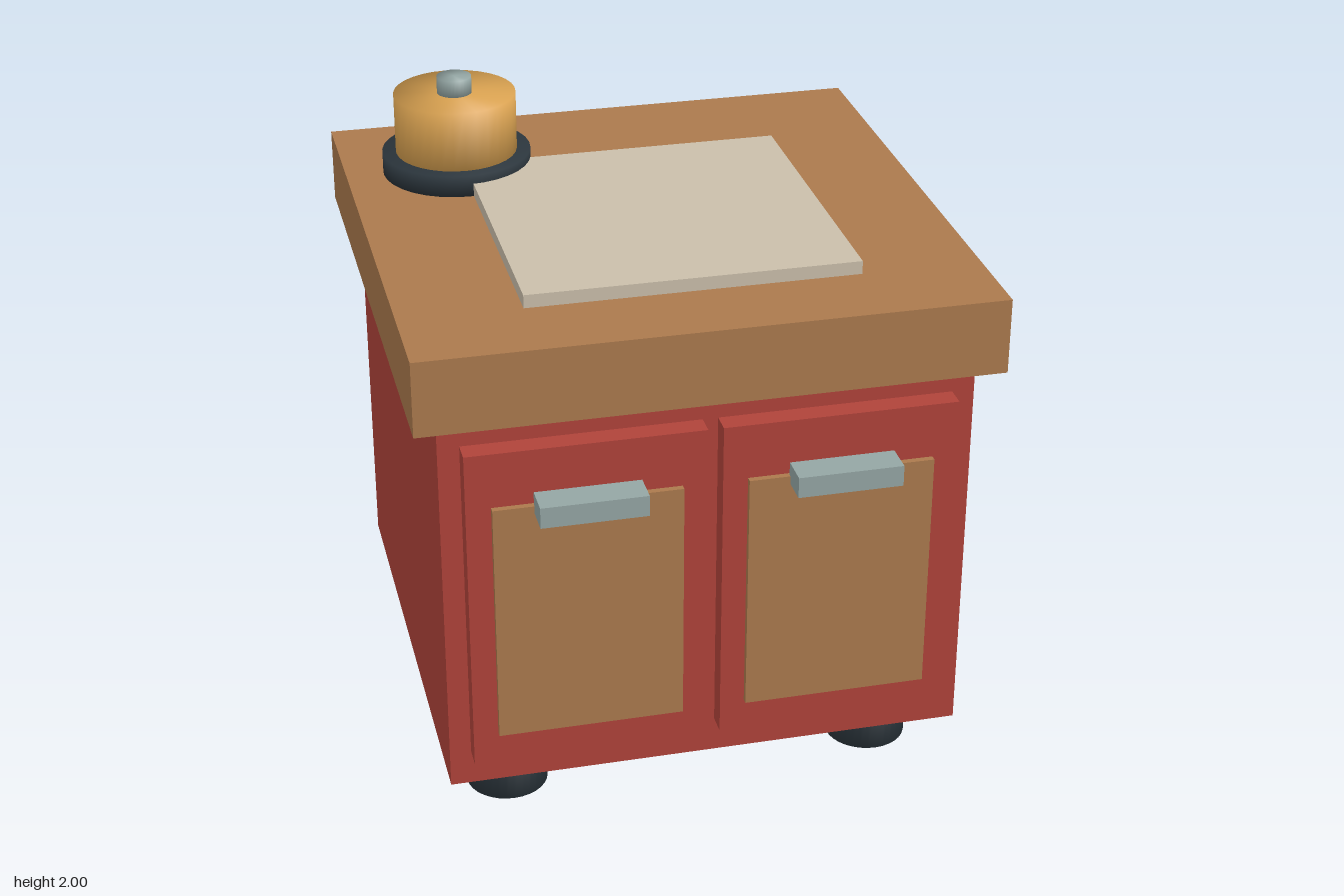
import * as THREE from 'three';
import { mergeVertices } from 'three/addons/utils/BufferGeometryUtils.js';

const paint = (name, color) => {
  const m = new THREE.MeshStandardMaterial({ color });
  m.name = name;
  return m;
};

export function createModel() {
  const red = paint('red paint', 0xb0433a);
  const wood = paint('wood', 0xab794d);
  const cream = paint('cream', 0xcabeaa);
  const steel = paint('steel', 0x94a6a4);
  const brass = paint('brass', 0xdca452);
  const rubber = paint('dark rubber', 0x2b353c);

  const model = new THREE.Group();
  model.name = 'cabinet';

  // Box given by its extents on each axis
  const box = (name, mat, [x0, x1], [y0, y1], [z0, z1], parent = model) => {
    const mesh = new THREE.Mesh(new THREE.BoxGeometry(x1 - x0, y1 - y0, z1 - z0), mat);
    mesh.position.set((x0 + x1) / 2, (y0 + y1) / 2, (z0 + z1) / 2);
    mesh.name = name;
    parent.add(mesh);
  };

  // Upright cylinder with normals smoothed over its rims
  const disc = (name, mat, r, y0, y1, x, z, parent = model) => {
    let geo = new THREE.CylinderGeometry(r, r, y1 - y0, 32);
    geo.deleteAttribute('uv');
    geo.deleteAttribute('normal');
    geo = mergeVertices(geo);
    geo.computeVertexNormals();
    const mesh = new THREE.Mesh(geo, mat);
    mesh.position.set(x, (y0 + y1) / 2, z);
    mesh.name = name;
    parent.add(mesh);
  };

  // Carcass and worktop
  box('body', red, [-0.817, 0.817], [0.17, 1.44], [-0.86, 0.76]);
  box('worktop', wood, [-0.892, 0.892], [1.44, 1.68], [-0.933, 0.833]);
  box('board', cream, [-0.516, 0.516], [1.68, 1.722], [-0.46, 0.56]);

  // Doors with inset panel and handle
  for (const [name, cx] of [['leftDoor', 0.385], ['rightDoor', -0.388]]) {
    const door = new THREE.Group();
    door.name = name;
    const span = (half) => [cx - half, cx + half];
    box('doorFrame', red, span(0.363), [0.285, 1.357], [0.76, 0.828], door);
    box('doorPanel', wood, span(0.287), [0.39, 1.18], [0.828, 0.848], door);
    box('handle', steel, span(0.162), [1.155, 1.222], [0.838, 0.936], door);
    model.add(door);
  }

  // Feet
  for (const x of [-0.6, 0.6])
    for (const z of [-0.615, 0.515]) disc('foot', rubber, 0.13, 0, 0.17, x, z);

  // Bell on the back right corner
  const bell = new THREE.Group();
  bell.name = 'bell';
  disc('bellBase', rubber, 0.241, 1.68, 1.75, -0.53, -0.525, bell);
  disc('bellDome', brass, 0.197, 1.75, 1.945, -0.53, -0.525, bell);
  disc('bellButton', steel, 0.056, 1.945, 2.0, -0.53, -0.525, bell);
  model.add(bell);

  return model;
}
